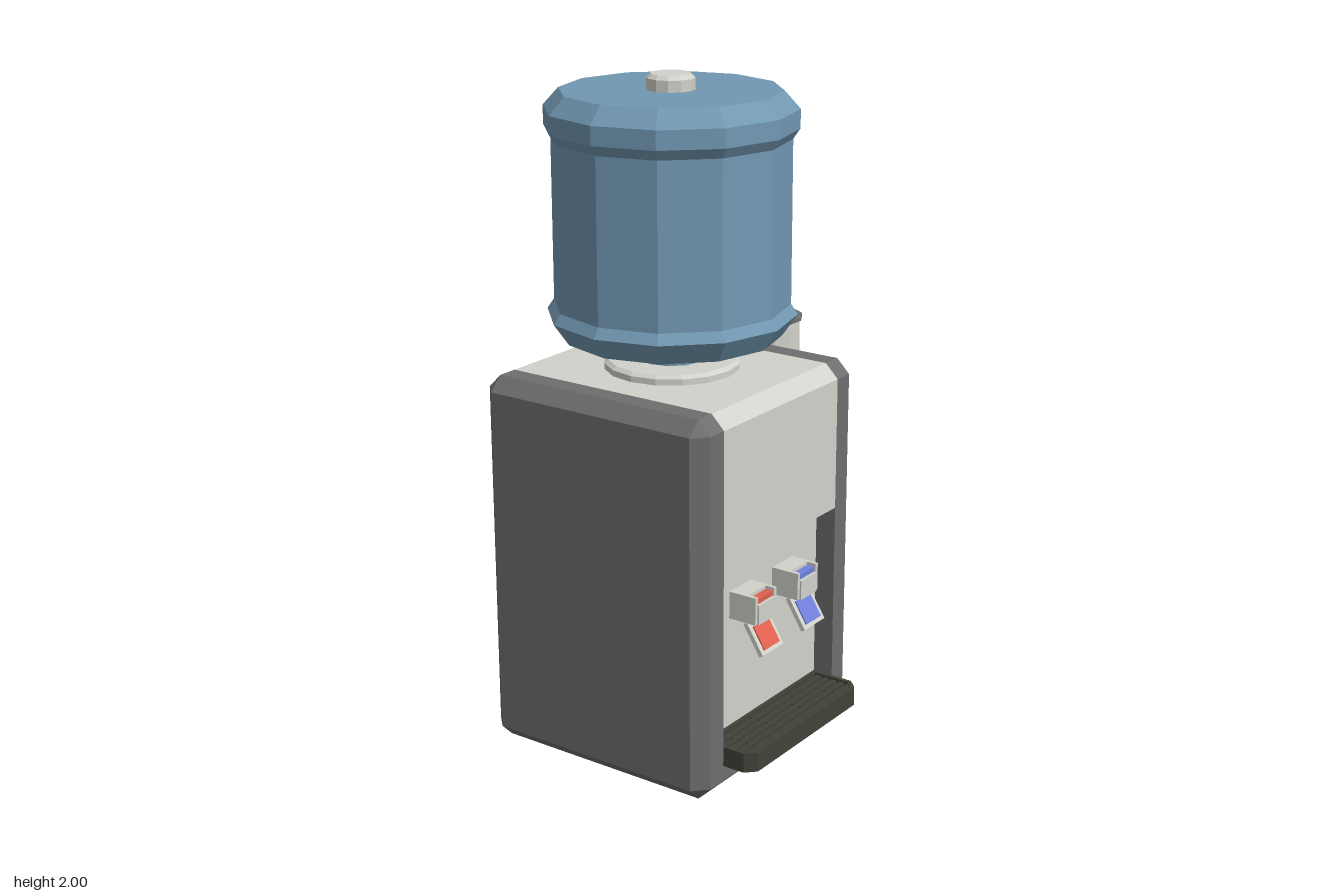
import * as THREE from 'three';
import { ConvexGeometry } from 'three/addons/geometries/ConvexGeometry.js';

const mat = (name, color) => {
  const m = new THREE.MeshStandardMaterial({ color });
  m.name = name;
  return m;
};

// Faceted normals for low-poly shapes
function facet(geo) {
  const g = geo.index ? geo.toNonIndexed() : geo;
  g.computeVertexNormals();
  return g;
}

// Faceted solid of revolution; profile runs from bottom to top
function turned(profile, sides, turn = 0) {
  const pts = [[0, profile[0][1]], ...profile, [0, profile[profile.length - 1][1]]];
  return facet(new THREE.LatheGeometry(pts.map(p => new THREE.Vector2(...p)), sides, turn));
}

const polygon = pts => new THREE.Shape(pts.map(p => new THREE.Vector2(...p)));

// Side profile of [z, y] points swept from x0 to x1
function sweepX(pts, x0, x1) {
  const g = new THREE.ExtrudeGeometry(polygon(pts), { depth: x1 - x0, bevelEnabled: false });
  return g.rotateY(-Math.PI / 2).translate(x1, 0, 0);
}

// Floor outline of [x, z] points raised from y0 to y1
function raise(pts, y0, y1, hole) {
  const flip = p => p.map(([x, z]) => [x, -z]);
  const s = polygon(flip(pts));
  if (hole) s.holes.push(polygon(flip(hole)));
  const g = new THREE.ExtrudeGeometry(s, { depth: y1 - y0, bevelEnabled: false });
  return g.rotateX(-Math.PI / 2).translate(0, y0, 0);
}

export function createModel() {
  const model = new THREE.Group();
  model.name = 'waterDispenser';
  const white = mat('offWhite', 0xd2d2cc);
  const grey = mat('darkGrey', 0x6e6e6e);
  const water = mat('bottleBlue', 0x7298b3);
  const trayMat = mat('trayBlack', 0x42423a);
  const red = mat('hotRed', 0xe0614f);
  const blue = mat('coldBlue', 0x6f80dc);

  const add = (name, geo, material, parent = model) => {
    const m = new THREE.Mesh(geo, material);
    m.name = name;
    parent.add(m);
    return m;
  };
  const box = (name, w, h, d, x, y, z, material, parent) => {
    const m = add(name, new THREE.BoxGeometry(w, h, d), material, parent);
    m.position.set(x, y, z);
    return m;
  };

  // Cabinet: two bevelled side cheeks
  const X0 = -0.505, X1 = 0.285, P0 = -0.4, P1 = 0.18, H = 1.145, ZB = -0.445, ZF = 0.34, C = 0.042;
  function cheek(outer, inner) {
    const pts = [];
    const step = outer + Math.sign(inner - outer) * C;
    for (const y of [C, H - C])
      for (const z of [ZB + C, ZF - C]) pts.push(new THREE.Vector3(outer, y, z));
    for (const x of [step, inner]) {
      for (const y of [0, H]) for (const z of [ZB + C, ZF - C]) pts.push(new THREE.Vector3(x, y, z));
      for (const y of [C, H - C]) for (const z of [ZB, ZF]) pts.push(new THREE.Vector3(x, y, z));
    }
    return new ConvexGeometry(pts);
  }
  add('rightCheek', cheek(X0, P0), grey);
  add('leftCheek', cheek(X1, P1), grey);

  // Cabinet: dark back and base, then light top and front with the tap recess
  const ZR = 0.275, YB = 0.09, YR = 0.7;
  add('backAndBase', sweepX([
    [ZF - C, 0], [ZF, C], [ZF, YB], [ZB + C, YB], [ZB + C, H], [ZB, H - C], [ZB, C], [ZB + C, 0],
  ], P0, P1), grey);
  add('frontAndTopPanel', sweepX([
    [ZB + C, YB], [ZR, YB], [ZR, YR], [ZF, YR], [ZF, H - C], [ZF - C, H], [ZB + C, H],
  ], P0, P1), white);

  // Drip tray: floor, rim and grille
  const outline = (i, back) => [
    [P0 + i, back], [P0 + i, 0.41 - i * 0.5], [P0 + 0.03 + i * 0.5, 0.44 - i],
    [P1 - 0.03 - i * 0.5, 0.44 - i], [P1 - i, 0.41 - i * 0.5], [P1 - i, back],
  ];
  const tray = new THREE.Group();
  tray.name = 'dripTray';
  model.add(tray);
  add('trayFloor', raise(outline(0.005, ZR + 0.002), YB, 0.125), trayMat, tray);
  add('trayRim', raise(outline(0, ZR), YB, 0.15, outline(0.012, ZR + 0.012)), trayMat, tray);
  for (let i = 0; i < 5; i++)
    box('traySlat', 0.55, 0.012, 0.016, -0.11, 0.139, 0.305 + i * 0.027, trayMat, tray);
  for (let i = 0; i < 4; i++)
    box('trayRib', 0.008, 0.01, 0.135, -0.32 + i * 0.14, 0.137, 0.357, trayMat, tray);

  // Taps: housing, coloured cap and sloping lever with coloured pad
  for (const [name, x, colour] of [['hotTap', -0.225, red], ['coldTap', -0.005, blue]]) {
    const tap = new THREE.Group();
    tap.name = name;
    tap.position.x = x;
    model.add(tap);
    box('housing', 0.085, 0.06, 0.095, 0, 0.518, 0.3225, white, tap);
    box('cap', 0.085, 0.015, 0.085, 0, 0.5555, 0.3175, colour, tap);
    for (const s of [-1, 1]) box('sideFrame', 0.012, 0.083, 0.09, s * 0.048, 0.5315, 0.32, white, tap);
    box('topFrame', 0.108, 0.01, 0.06, 0, 0.568, 0.305, white, tap);
    const lever = new THREE.Group();
    lever.name = 'lever';
    lever.position.set(0, 0.443, 0.358);
    lever.rotation.x = -0.56;
    tap.add(lever);
    box('leverPlate', 0.108, 0.105, 0.014, 0, 0, 0, white, lever);
    box('leverPad', 0.078, 0.075, 0.004, 0, -0.003, 0.009, colour, lever);
  }

  // Bottle with collar and cap
  const bottle = new THREE.Group();
  bottle.name = 'bottleAssembly';
  bottle.position.set(-0.1, 0, -0.055);
  model.add(bottle);
  add('collar', turned([[0.2, H], [0.2, 1.163], [0.188, 1.173]], 16), white, bottle);
  add('bottle', turned([
    [0.1, 1.165], [0.1, 1.18], [0.32, 1.245], [0.365, 1.31], [0.345, 1.34],
    [0.345, 1.82], [0.365, 1.85], [0.365, 1.905], [0.32, 1.955],
  ], 12), water, bottle);
  add('bottleCap', turned([[0.07, 1.95], [0.07, 1.988], [0.058, 2]], 12), white, bottle);

  // Cup holder on the left side
  const cups = new THREE.Group();
  cups.name = 'cupHolder';
  cups.position.set(0.395, 0, -0.05);
  model.add(cups);
  const T = Math.PI / 12;
  add('cupTube', turned([[0.1, 0.7], [0.1, 1.18]], 12, T), white, cups);
  add('cupLid', turned([[0.107, 1.178], [0.107, 1.188]], 12, T), grey, cups);
  add('holderRing', turned([[0.107, 0.615], [0.107, 0.735]], 12, T), grey, cups);
  add('cupEnd', turned([[0.052, 0.575], [0.064, 0.616]], 12, T), white, cups);
  add('cupMouth', turned([[0.036, 0.573], [0.036, 0.576]], 12, T), grey, cups);
  box('holderBracket', 0.08, 0.12, 0.154, -0.075, 0.675, 0, grey, cups);

  return model;
}
